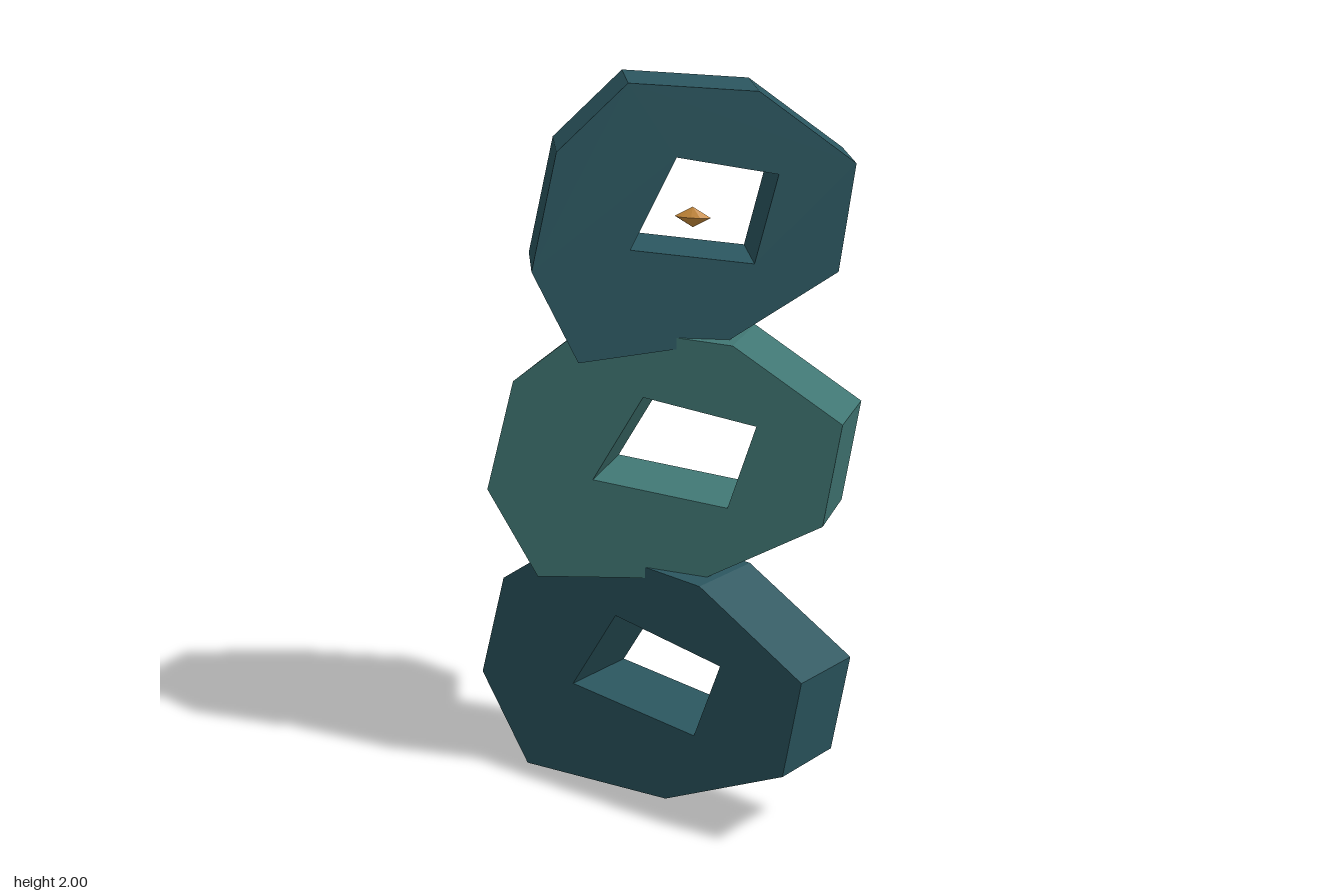
import * as THREE from 'three';

// A leaning stack of three faceted rings, each a turned slab with a skewed opening.
export function createModel() {
  const model = new THREE.Group();
  const material = (name, color) => {
    const m = new THREE.MeshStandardMaterial({ color });
    m.name = name;
    return m;
  };
  const deepTeal = material('deepTeal', 0x2b565f);
  const paleTeal = material('paleTeal', 0x407673);
  const amber = material('amber', 0xcf8f3c);

  const toPoints = (list) => list.map(([x, y]) => new THREE.Vector2(x, y));

  // Extruded outline with one hole, centred on its own depth.
  // Both lists run clockwise; the outline is reversed so the hole walls face inward.
  function addRing(name, mat, outline, hole, depth, x, z, turn) {
    const shape = new THREE.Shape(toPoints(outline).reverse());
    shape.holes.push(new THREE.Path(toPoints(hole)));
    const geometry = new THREE.ExtrudeGeometry(shape, { depth, bevelEnabled: false });
    geometry.translate(0, 0, -depth / 2);
    const ring = new THREE.Mesh(geometry, mat);
    ring.name = name;
    ring.position.set(x, 0, z);
    ring.rotation.y = turn;
    model.add(ring);
  }

  addRing('bottomRing', deepTeal,
    [[-0.56, 0.24], [-0.47, 0.55], [-0.225, 0.72], [0.227, 0.695],
      [0.558, 0.51], [0.504, 0.23], [0.114, 0.045], [-0.392, 0]],
    [[-0.215, 0.297], [-0.06, 0.54], [0.297, 0.487], [0.211, 0.262]],
    0.222, 0, 0, -0.38);

  addRing('middleRing', paleTeal,
    [[-0.445, 0.88], [-0.365, 1.19], [-0.155, 1.36], [0.235, 1.335],
      [0.526, 1.15], [0.48, 0.87], [0.16, 0.69], [-0.305, 0.645]],
    [[-0.145, 0.937], [-0.005, 1.177], [0.3, 1.125], [0.225, 0.895]],
    0.225, 0, 0.007, 0);

  addRing('topRing', deepTeal,
    [[-0.411, 1.525], [-0.344, 1.83], [-0.164, 2], [0.164, 1.975],
      [0.413, 1.79], [0.374, 1.51], [0.085, 1.33], [-0.295, 1.283]],
    [[-0.16, 1.577], [-0.043, 1.812], [0.216, 1.765], [0.157, 1.535]],
    0.224, 0.083, 0, 0.38);

  // Small faceted bead hanging in the top opening
  const beadGeometry = new THREE.SphereGeometry(1, 12, 2).toNonIndexed();
  beadGeometry.scale(0.047, 0.026, 0.015);
  beadGeometry.computeVertexNormals();
  const bead = new THREE.Mesh(beadGeometry, amber);
  bead.name = 'bead';
  bead.position.set(0.133, 1.668, 0.14);
  model.add(bead);

  return model;
}
